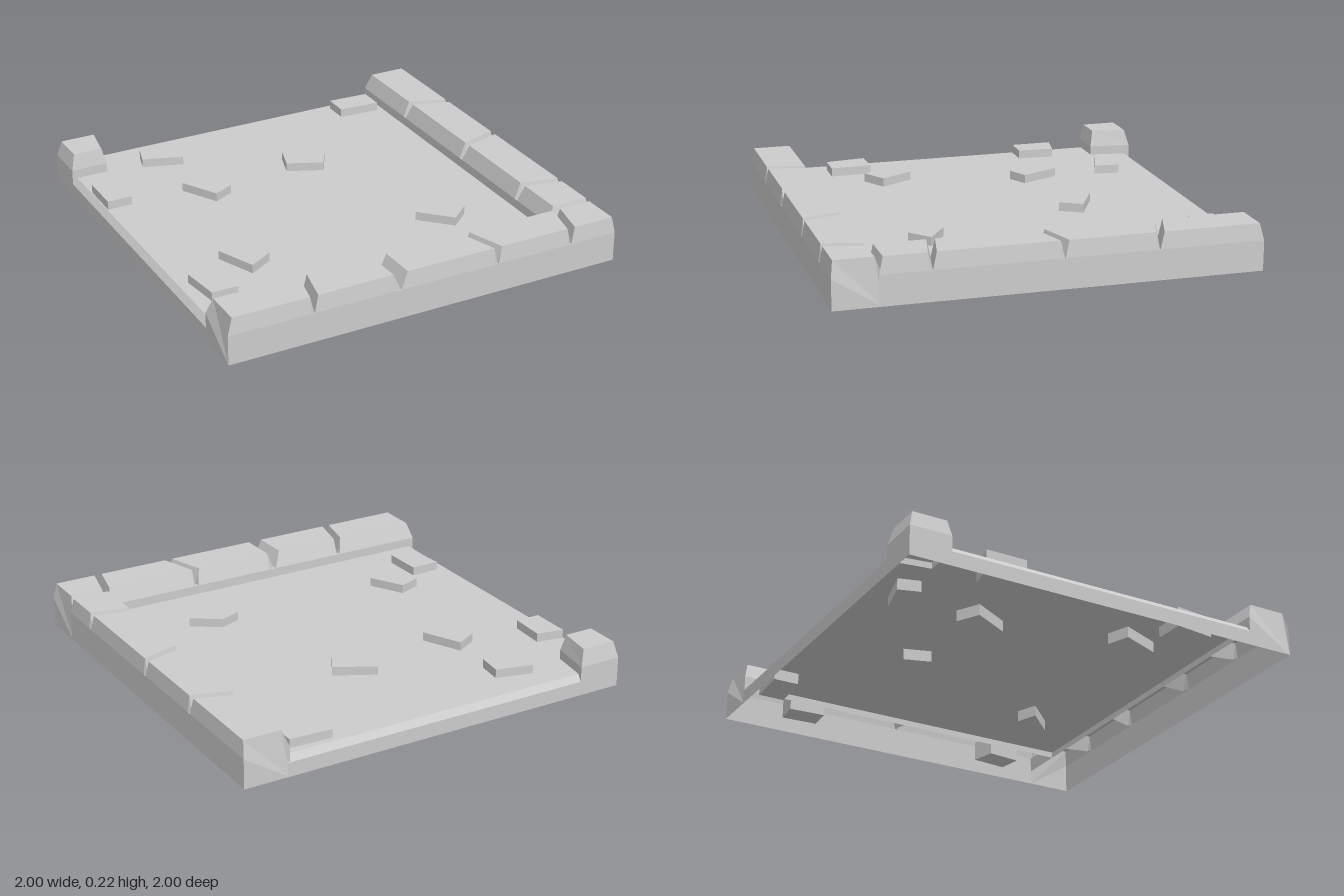
import * as THREE from 'three';

const material = new THREE.MeshStandardMaterial({ color: 0xcccccc, flatShading: true, side: THREE.DoubleSide });
const FLOOR = 0.1, SHOULDER = 0.145, TOP = 0.225;

// Skin a row of cross-sections; optional flat caps and closed sections
function loft(sections, { closed = false, startCap = null, endCap = null } = {}) {
  const pos = [];
  const tri = (a, b, c) => pos.push(...a, ...b, ...c);
  const fan = (p) => { for (let i = 1; i < p.length - 1; i++) tri(p[0], p[i], p[i + 1]); };
  for (let s = 0; s < sections.length - 1; s++) {
    const a = sections[s], b = sections[s + 1], n = a.length;
    for (let i = 0; i < (closed ? n : n - 1); i++) {
      const j = (i + 1) % n;
      tri(a[i], b[i], b[j]);
      tri(a[i], b[j], a[j]);
    }
  }
  if (startCap) fan(startCap);
  if (endCap) fan([...endCap].reverse());
  const g = new THREE.BufferGeometry();
  g.setAttribute('position', new THREE.Float32BufferAttribute(pos, 3));
  g.computeVertexNormals();
  return g;
}

// Wall cross-section, from the outer foot over the top to the inner foot
const wallSection = (outer, inner, outerTop = outer, innerTop = inner, y = TOP) => [
  [outer, 0, 1], [outer, SHOULDER, 1], [outerTop, y, 0.99],
  [innerTop, y, 0.805], [inner, SHOULDER, 0.775], [inner, 0.07, 0.775],
];

// Each notch is [outer position, inner position, half width]
const notchSections = (notches) => notches.flatMap(([o, i, w]) => [
  wallSection(o - w, i - w),
  wallSection(o, i, o, i, SHOULDER),
  wallSection(o + w, i + w),
]);

const capOf = (section) => [...section, [section[5][0], 0, 0.775]];

// Prism between rings of [x, z] corners at given heights
const ring = (corners, y) => corners.map(([x, z]) => [x, y, z]);

export function createModel() {
  const model = new THREE.Group();
  const add = (name, geometry) => {
    const mesh = new THREE.Mesh(geometry, material);
    mesh.name = name;
    model.add(mesh);
    return mesh;
  };

  // Floor sheet
  const floor = new THREE.PlaneGeometry(1.76, 1.76).rotateX(-Math.PI / 2);
  add('floor', floor).position.set(-0.095, FLOOR, -0.095);

  // Open rim with a sloping lip along the back and the right-hand side
  add('floorRim', loft([
    [[0.785, 0, -1], [0.785, 0.07, -1], [0.785, FLOOR, -0.975]],
    [[-1, 0, -1], [-1, 0.07, -1], [-0.975, FLOOR, -0.975]],
    [[-1, 0, 0.785], [-1, 0.07, 0.785], [-0.975, FLOOR, 0.785]],
  ]));

  // Front wall
  const frontStart = wallSection(-1, -1, -0.975, -0.975);
  const frontEnd = wallSection(1, 1, 0.985, 0.985);
  add('frontWall', loft([
    frontStart,
    ...notchSections([[-0.58, -0.54, 0.02], [-0.148, -0.153, 0.036], [0.36, 0.3, 0.02], [0.757, 0.8, 0.02]]),
    frontEnd,
  ], { startCap: capOf(frontStart), endCap: capOf(frontEnd) }));

  // Side wall, shaped like the front wall and turned; it dips where they meet
  const sideEnd = wallSection(1, 1, 0.98, 0.98);
  add('sideWall', loft([
    wallSection(-0.79, -0.79, -0.79, -0.79, SHOULDER),
    wallSection(-0.77, -0.77),
    ...notchSections([[-0.55, -0.51, 0.02], [0.053, -0.003, 0.02], [0.5, 0.56, 0.02]]),
    sideEnd,
  ], { endCap: capOf(sideEnd) }).rotateY(Math.PI / 2));

  // Corner post
  const postFoot = [[-1, -1], [-0.785, -1], [-0.815, -0.795], [-1, -0.795]];
  const postTop = ring([[-0.98, -0.98], [-0.807, -0.98], [-0.835, -0.81], [-0.98, -0.81]], TOP);
  add('cornerPost', loft([ring(postFoot, 0.07), ring(postFoot, SHOULDER), postTop],
    { closed: true, endCap: postTop }));

  // Loose paving stones, set through the floor
  const stones = [
    [[-0.61, -0.86], [-0.43, -0.815], [-0.445, -0.69], [-0.64, -0.755]],
    [[0.53, -0.945], [0.74, -0.935], [0.74, -0.805], [0.53, -0.82]],
    [[-0.97, -0.61], [-0.835, -0.585], [-0.845, -0.405], [-0.97, -0.405]],
    [[-0.57, -0.42], [-0.46, -0.48], [-0.37, -0.29], [-0.47, -0.24]],
    [[0.02, -0.505], [0.21, -0.405], [0.15, -0.3], [-0.02, -0.375]],
    [[-0.71, 0.29], [-0.6, 0.25], [-0.51, 0.415], [-0.63, 0.485]],
    [[-0.925, 0.425], [-0.775, 0.42], [-0.77, 0.625], [-0.9, 0.625]],
    [[0.285, 0.38], [0.39, 0.34], [0.525, 0.435], [0.425, 0.52]],
    [[0.83, 0.43], [0.95, 0.4], [0.97, 0.58], [0.85, 0.6]],
    [[0.82, -0.73], [0.94, -0.72], [0.93, -0.54], [0.81, -0.55]],
  ];
  for (const corners of stones) {
    const bottom = ring(corners, 0.045), top = ring(corners, 0.143);
    add('pavingStone', loft([bottom, top], { closed: true, startCap: bottom, endCap: top }));
  }

  return model;
}
